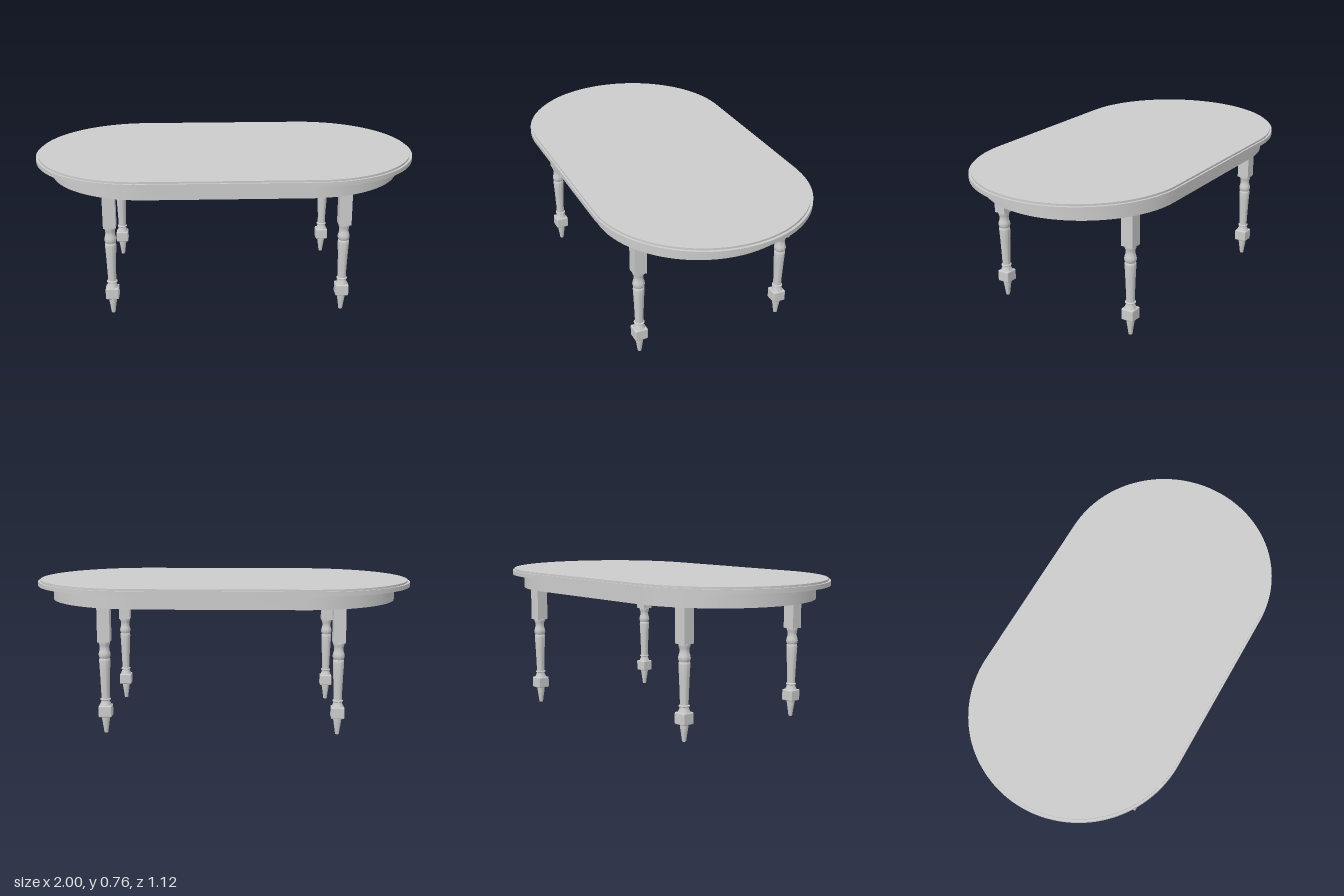
import * as THREE from 'three';
import { toCreasedNormals } from 'three/addons/utils/BufferGeometryUtils.js';
import { RoundedBoxGeometry } from 'three/addons/geometries/RoundedBoxGeometry.js';

const material = new THREE.MeshStandardMaterial({ color: 0xcccccc });

function addMesh(parent, name, geometry, x = 0, y = 0, z = 0) {
  const mesh = new THREE.Mesh(geometry, material);
  mesh.name = name;
  mesh.position.set(x, y, z);
  parent.add(mesh);
  return mesh;
}

// Outline with straight sides and half-round ends
function ovalPath(PathType, halfStraight, radius) {
  const path = new PathType();
  path.absarc(halfStraight, 0, radius, -Math.PI / 2, Math.PI / 2, false);
  path.absarc(-halfStraight, 0, radius, Math.PI / 2, Math.PI * 1.5, false);
  path.closePath();
  return path;
}

// Oval slab lying flat between two heights, optionally hollow
function ovalSlab(halfStraight, radius, bottom, top, wall = 0) {
  const shape = ovalPath(THREE.Shape, halfStraight, radius);
  if (wall) shape.holes.push(ovalPath(THREE.Path, halfStraight, radius - wall));
  const geometry = new THREE.ExtrudeGeometry(shape, {
    depth: top - bottom, bevelEnabled: false, curveSegments: 40,
  });
  geometry.rotateX(-Math.PI / 2);
  geometry.translate(0, bottom, 0);
  return toCreasedNormals(geometry, 0.5);
}

function lathe(points) {
  const profile = points.map(([r, y]) => new THREE.Vector2(r, y));
  return toCreasedNormals(new THREE.LatheGeometry(profile, 28), 0.6);
}

function createLeg() {
  const leg = new THREE.Group();
  leg.name = 'leg';
  // Square upper block
  addMesh(leg, 'legBlock', new THREE.BoxGeometry(0.064, 0.253, 0.064), 0, 0.6035, 0);
  // Turned shaft with a bulged collar, taper and flared base
  addMesh(leg, 'turnedShaft', lathe([
    [0, 0.14], [0.031, 0.143], [0.029, 0.15], [0.023, 0.163], [0.022, 0.17],
    [0.027, 0.173], [0.027, 0.178], [0.021, 0.181], [0.022, 0.22],
    [0.026, 0.32], [0.029, 0.376], [0.028, 0.386], [0.025, 0.39],
    [0.029, 0.398], [0.031, 0.408], [0.029, 0.42], [0.025, 0.432],
    [0.024, 0.445], [0.025, 0.457], [0.029, 0.467], [0.029, 0.475], [0, 0.478],
  ]));
  // Square block above the foot
  addMesh(leg, 'ankleBlock', new RoundedBoxGeometry(0.068, 0.06, 0.068, 2, 0.006), 0, 0.115, 0);
  // Tapered foot
  addMesh(leg, 'foot', lathe([
    [0, 0], [0.01, 0], [0.015, 0.035], [0.021, 0.075], [0.021, 0.088], [0, 0.088],
  ]));
  return leg;
}

export function createModel() {
  const table = new THREE.Group();
  table.name = 'ovalDiningTable';

  // Stepped top
  addMesh(table, 'topLowerEdge', ovalSlab(0.442, 0.558, 0.729, 0.752));
  addMesh(table, 'topSurface', ovalSlab(0.438, 0.549, 0.752, 0.762));

  // Hollow apron
  addMesh(table, 'apron', ovalSlab(0.403, 0.515, 0.657, 0.729, 0.03));

  // Braces under the top
  addMesh(table, 'longBrace', new THREE.BoxGeometry(1.79, 0.066, 0.03), 0, 0.696, 0);
  for (const x of [-0.42, 0, 0.42]) {
    addMesh(table, 'crossBrace', new THREE.BoxGeometry(0.03, 0.068, 0.98), x, 0.695, 0);
  }

  // Four legs
  for (const x of [-0.595, 0.595]) {
    for (const z of [-0.395, 0.395]) {
      const leg = createLeg();
      leg.position.set(x, 0, z);
      table.add(leg);
    }
  }
  return table;
}
